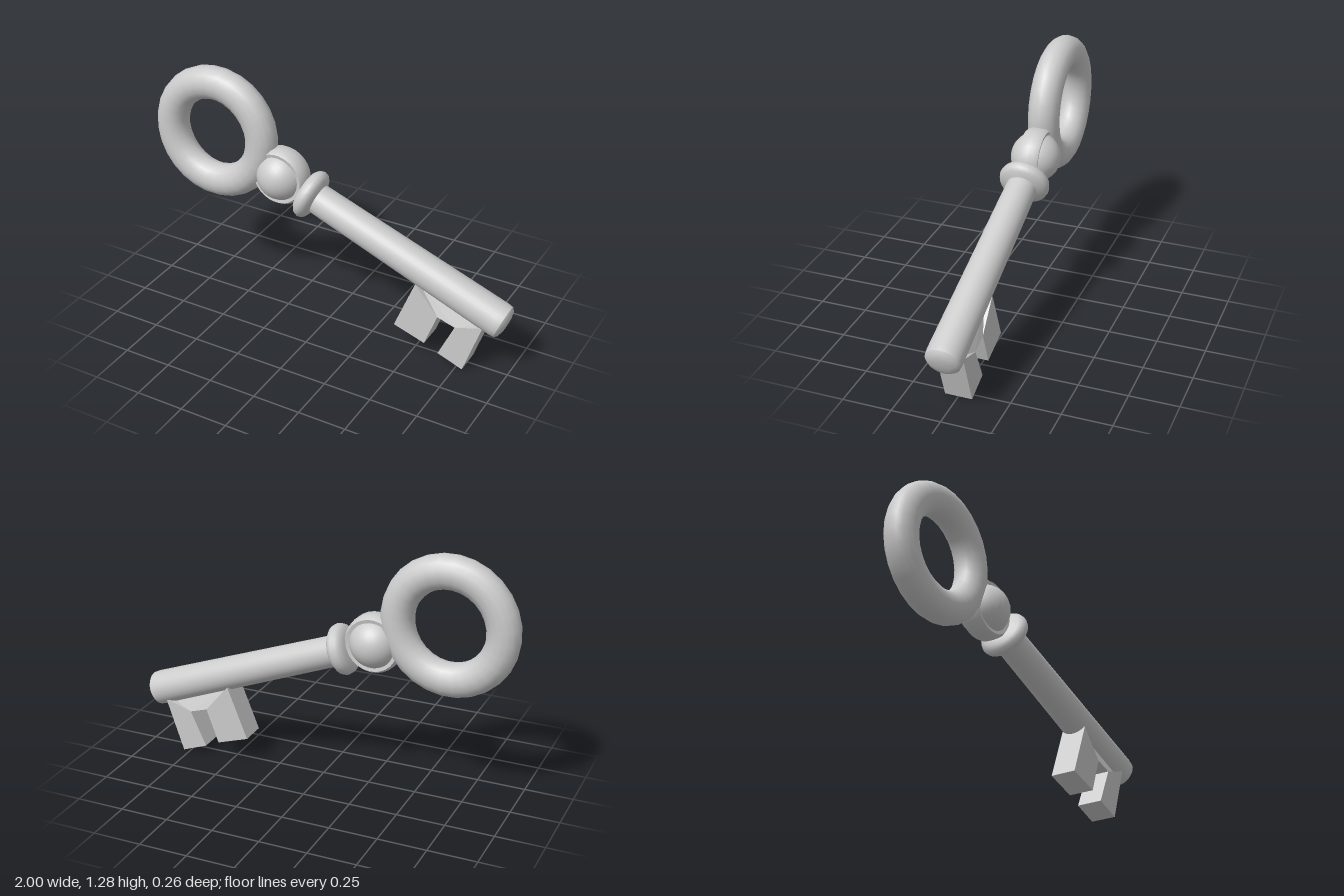
import * as THREE from 'three';
import { toCreasedNormals } from 'three/addons/utils/BufferGeometryUtils.js';
import { ConvexGeometry } from 'three/addons/geometries/ConvexGeometry.js';

const material = new THREE.MeshStandardMaterial({ color: 0xcccccc });

function part(name, geometry, x = 0, y = 0) {
  const mesh = new THREE.Mesh(geometry, material);
  mesh.name = name;
  mesh.position.set(x, y, 0);
  return mesh;
}

// Turned part along the key's length: profile of [position, radius]
function turned(profile, segments = 28) {
  const points = profile.map(([u, r]) => new THREE.Vector2(r, u));
  return toCreasedNormals(new THREE.LatheGeometry(points, segments).rotateZ(-Math.PI / 2), 0.7);
}

// Convex block from [x, y, halfDepth] corners mirrored front to back
function block(corners) {
  const points = corners.flatMap(([x, y, d]) => [new THREE.Vector3(x, y, d), new THREE.Vector3(x, y, -d)]);
  return new ConvexGeometry(points);
}

export function createModel() {
  const model = new THREE.Group();
  model.name = 'key';

  // Key laid out along local +x, origin at the centre of the bow
  const key = new THREE.Group();
  key.name = 'keyBody';
  key.position.set(-0.655, 0.928, 0);
  key.rotation.z = -0.368;
  model.add(key);

  // Ring-shaped handle
  const bow = part('bow', new THREE.TorusGeometry(0.272, 0.086, 16, 28));
  bow.scale.set(0.975, 1.01, 0.94);
  key.add(bow);

  // Ball held in a narrow band
  key.add(part('ball', new THREE.SphereGeometry(0.128, 28, 18), 0.407));
  const bandProfile = [[0.11, -0.05], [0.135, -0.055], [0.148, -0.035], [0.15, 0], [0.148, 0.035], [0.135, 0.055], [0.11, 0.05]]
    .map(([r, z]) => new THREE.Vector2(r, z));
  key.add(part('ballBand', toCreasedNormals(new THREE.LatheGeometry(bandProfile, 28).rotateX(Math.PI / 2), 0.8), 0.407));

  // Rounded collar
  key.add(part('collar', turned([
    [-0.045, 0], [-0.045, 0.075], [-0.038, 0.105], [-0.022, 0.124], [0, 0.131],
    [0.02, 0.125], [0.034, 0.108], [0.042, 0.088], [0.05, 0.07],
  ]), 0.588));

  // Shaft, widening slightly to a softened tip
  key.add(part('shaft', turned([[0.55, 0], [0.55, 0.078], [1.7, 0.09], [1.728, 0.087], [1.742, 0.072], [1.75, 0.04], [1.752, 0]])));

  // Bit: two teeth joined by a sloping web
  const bit = new THREE.Group();
  bit.name = 'bit';
  const d = 0.069;
  bit.add(
    part('innerTooth', block([[1.274, -0.055, d], [1.272, -0.35, d], [1.45, -0.341, d], [1.446, -0.15, d]])),
    part('outerTooth', block([[1.533, -0.346, d], [1.677, -0.345, d], [1.664, -0.05, d], [1.545, -0.144, d]])),
    part('web', block([[1.446, -0.15, d], [1.545, -0.144, d], [1.664, -0.05, 0.03], [1.274, -0.055, 0.03]])),
  );
  key.add(bit);

  return model;
}
